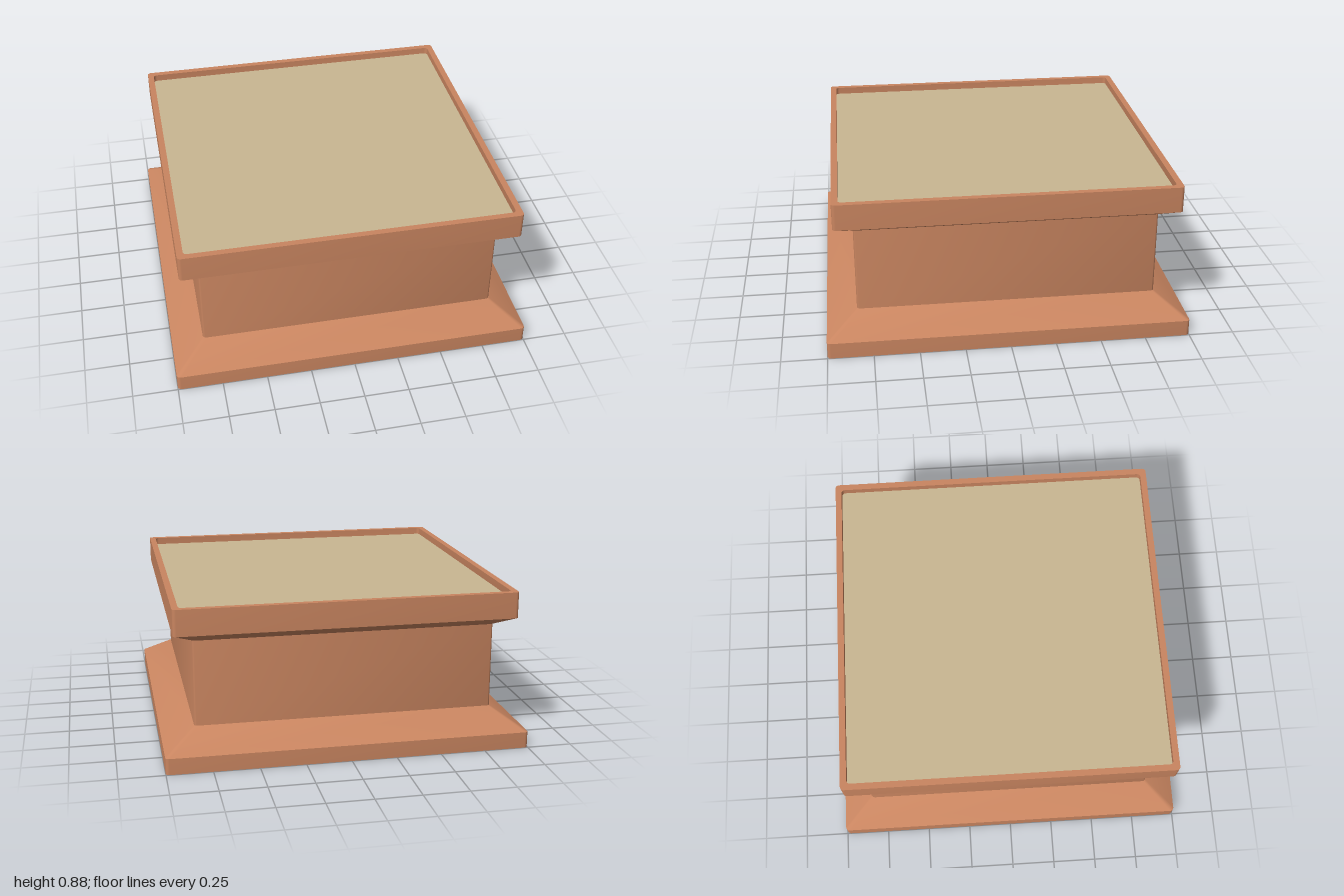
import * as THREE from 'three';
import { toCreasedNormals } from 'three/addons/utils/BufferGeometryUtils.js';

const RADIUS = 0.02, SEGMENTS = 4;

// Points of a rounded square, counter-clockwise seen from above
function squareRing(half, y) {
  const ring = [], c = half - RADIUS;
  for (let k = 0; k < 4; k++) {
    const mid = Math.PI / 4 + k * Math.PI / 2;
    for (let i = 0; i <= SEGMENTS; i++) {
      const a = k * Math.PI / 2 + (i / SEGMENTS) * Math.PI / 2;
      ring.push([
        Math.sign(Math.cos(mid)) * c + RADIUS * Math.cos(a), y,
        -Math.sign(Math.sin(mid)) * c - RADIUS * Math.sin(a),
      ]);
    }
  }
  return ring;
}

// Skin through square sections [half width, y], with optional end caps
function loftSquares(profile, capStart, capEnd) {
  const rings = profile.map(([half, y]) => squareRing(half, y));
  const n = rings[0].length, positions = rings.flat(2), index = [];
  for (let r = 0; r < rings.length - 1; r++) {
    for (let i = 0; i < n; i++) {
      const a = r * n + i, b = r * n + (i + 1) % n;
      index.push(a, b, b + n, a, b + n, a + n);
    }
  }
  const last = (rings.length - 1) * n;
  for (let i = 1; i < n - 1; i++) {
    if (capStart) index.push(0, i + 1, i);
    if (capEnd) index.push(last, last + i, last + i + 1);
  }
  const geometry = new THREE.BufferGeometry();
  geometry.setAttribute('position', new THREE.Float32BufferAttribute(positions, 3));
  geometry.setIndex(index);
  return toCreasedNormals(geometry, 0.6);
}

export function createModel() {
  const group = new THREE.Group();
  group.name = 'planter';
  const terracotta = new THREE.MeshStandardMaterial({ color: 0xc98560 });
  const sand = new THREE.MeshStandardMaterial({ color: 0xc9b692 });

  const add = (name, profile, material, capStart, capEnd) => {
    const mesh = new THREE.Mesh(loftSquares(profile, capStart, capEnd), material);
    mesh.name = name;
    group.add(mesh);
  };

  // Plinth with sloping shoulder
  add('base', [[1, 0], [1, 0.09], [0.83, 0.2]], terracotta, true, false);
  // Straight walls
  add('body', [[0.83, 0.2], [0.83, 0.675]], terracotta, false, false);
  // Flared rim, turning in and down to the filling
  add('rim', [[0.83, 0.675], [0.935, 0.73], [0.935, 0.875], [0.9, 0.875], [0.9, 0.835]], terracotta, false, false);
  // Flat filling recessed inside the rim
  add('filling', [[0.9, 0.815], [0.9, 0.835]], sand, false, true);

  return group;
}
